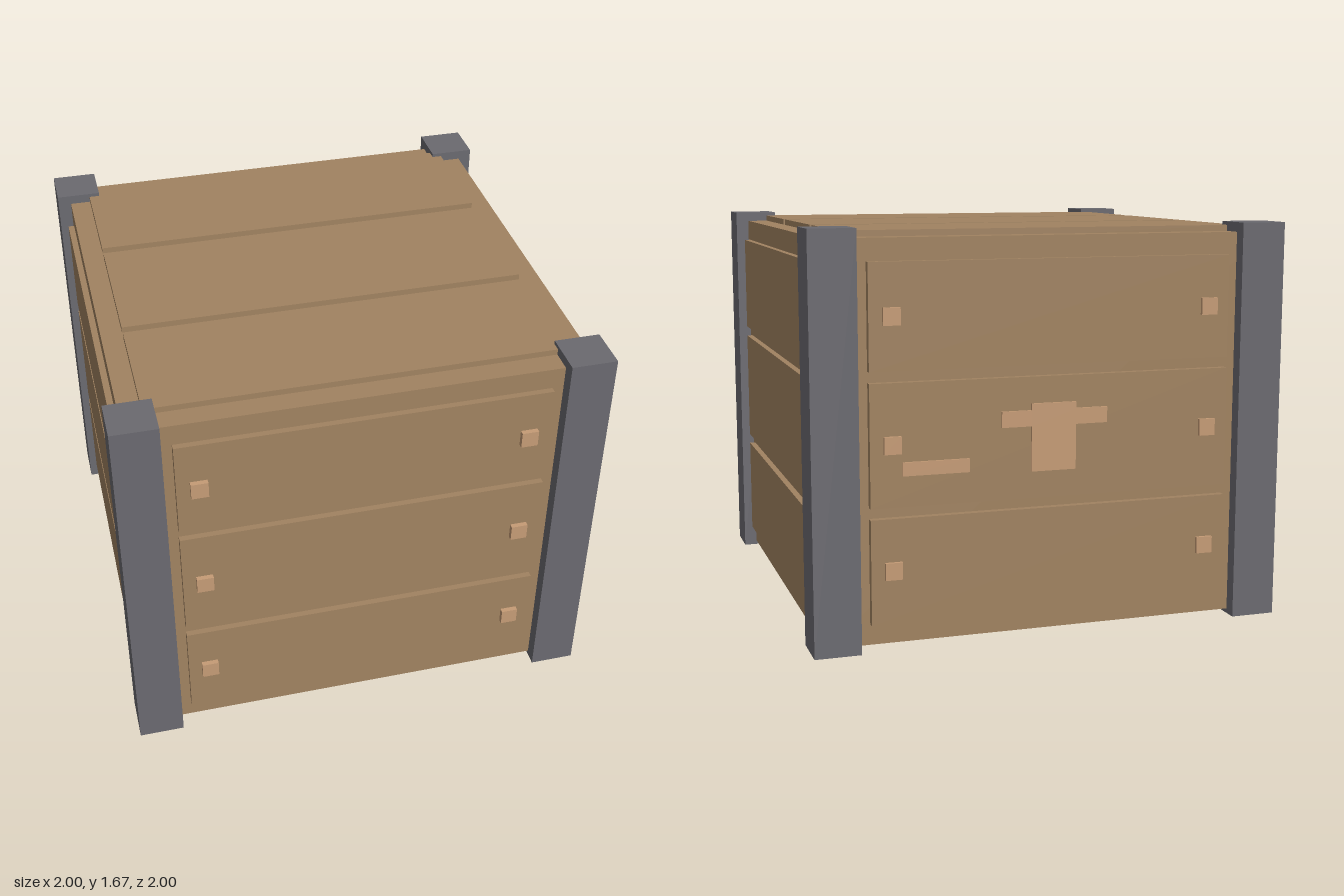
import * as THREE from 'three';

export function createModel() {
  const crate = new THREE.Group();
  crate.name = 'crate';

  const material = (name, color) => {
    const m = new THREE.MeshStandardMaterial({ color });
    m.name = name;
    return m;
  };
  const wood = material('wood', 0xa18361);
  const paleWood = material('paleWood', 0xc69c76);
  const iron = material('iron', 0x6b6a70);

  // Box given by its lower and upper corners
  const box = (name, mat, [x0, y0, z0], [x1, y1, z1], parent = crate) => {
    const mesh = new THREE.Mesh(new THREE.BoxGeometry(x1 - x0, y1 - y0, z1 - z0), mat);
    mesh.position.set((x0 + x1) / 2, (y0 + y1) / 2, (z0 + z1) / 2);
    mesh.name = name;
    parent.add(mesh);
    return mesh;
  };

  // Main body
  box('body', wood, [-0.943, 0.02, -0.945], [0.943, 1.635, 0.943]);

  // Corner posts
  for (const x of [-0.905, 0.905])
    for (const z of [-0.905, 0.905])
      box('cornerPost', iron, [x - 0.095, 0, z - 0.095], [x + 0.095, 1.675, z + 0.095]);

  // Lid boards
  for (const [z0, z1] of [[-0.855, -0.34], [-0.295, 0.29], [0.335, 0.85]])
    box('lidBoard', wood, [-0.855, 1.6, z0], [0.852, 1.66, z1]);

  // Three boards on each wall, with pegs on the front and back walls
  const rows = [[0.105, 0.535], [0.58, 1.075], [1.12, 1.545]];
  ['frontWall', 'rightWall', 'backWall', 'leftWall'].forEach((name, i) => {
    const wall = new THREE.Group();
    wall.name = name;
    wall.rotation.y = (i * Math.PI) / 2;
    crate.add(wall);
    const face = i === 2 ? 0.976 : 0.969;
    rows.forEach(([y0, y1], row) => {
      box('wallBoard', wood, [-0.763, y0, 0.9], [0.763, y1, face], wall);
      if (i % 2) return;
      const y = 0.325 + row * 0.505;
      for (const x of [-0.673, 0.673])
        box('peg', paleWood, [x - 0.035, y - 0.035, 0.95], [x + 0.035, y + 0.035, 0.99], wall);
    });
  });

  // Latch and short batten on the back
  const latch = new THREE.Shape([
    [-0.225, 0.875], [-0.09, 0.875], [-0.09, 0.69], [0.1, 0.69], [0.1, 0.875], [0.225, 0.875],
    [0.225, 0.94], [0.1, 0.94], [0.1, 0.967], [-0.09, 0.967], [-0.09, 0.94], [-0.225, 0.94],
  ].map(([x, y]) => new THREE.Vector2(x, y)));
  const latchPlate = new THREE.Mesh(
    new THREE.ExtrudeGeometry(latch, { depth: 0.025, bevelEnabled: false }), paleWood);
  latchPlate.position.z = -0.985;
  latchPlate.name = 'latchPlate';
  crate.add(latchPlate);
  box('batten', paleWood, [0.36, 0.705, -0.985], [0.635, 0.76, -0.96]);

  return crate;
}
